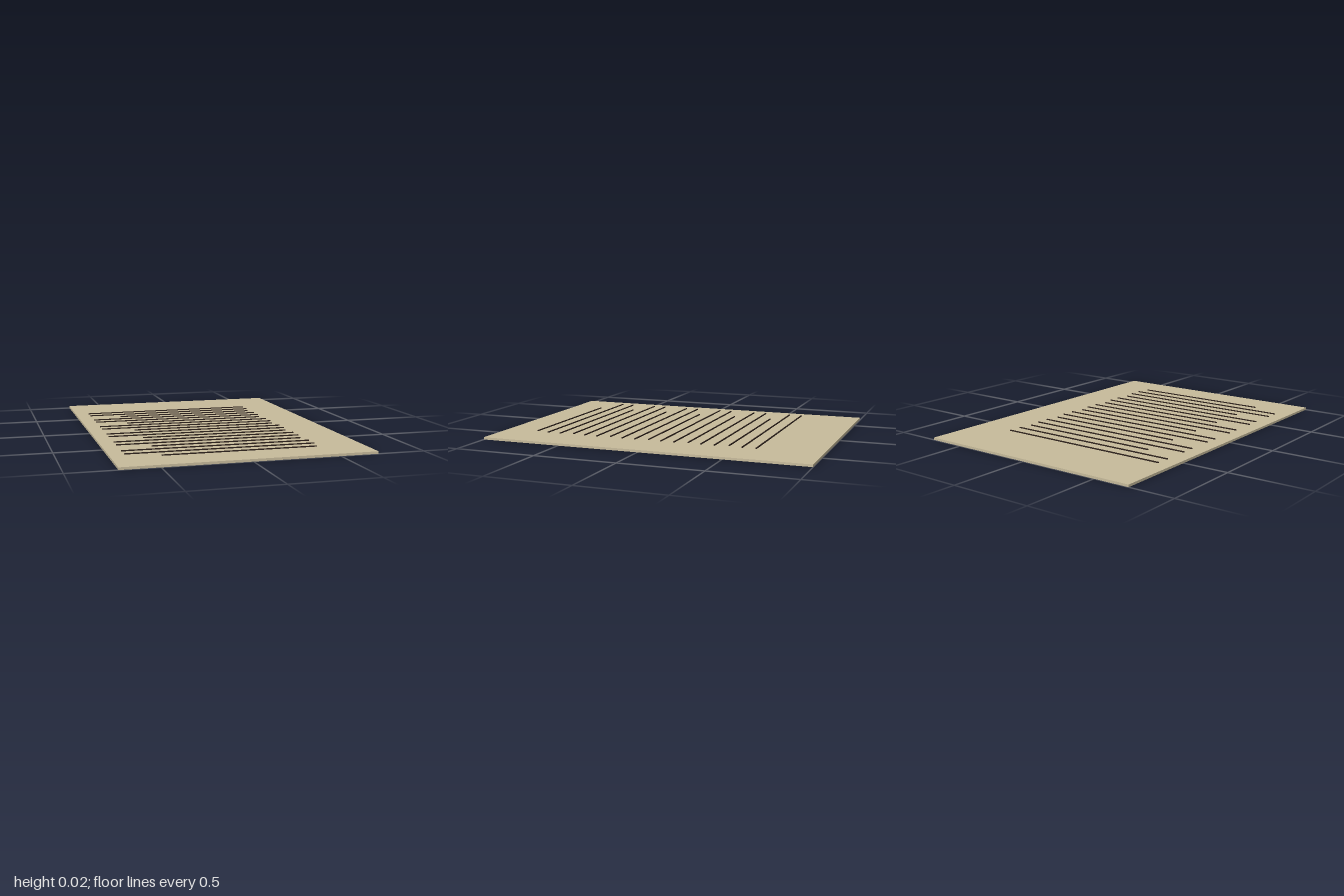
import * as THREE from 'three';

export function createModel() {
  const group = new THREE.Group();
  const paper = new THREE.MeshStandardMaterial({ color: 0xc8bc9c });
  const ink = new THREE.MeshStandardMaterial({ color: 0x2e221c });

  // Thin sheet lying flat
  const thickness = 0.014;
  const sheet = new THREE.Mesh(new THREE.BoxGeometry(1.446, thickness, 2), paper);
  sheet.name = 'sheet';
  sheet.position.y = thickness / 2;
  group.add(sheet);

  // Raised rows of writing: two long lines, then a short indented one
  const lines = new THREE.Group();
  lines.name = 'writtenLines';
  const rowHeight = 0.006;
  for (let i = 0; i < 18; i++) {
    const short = i % 3 === 2;
    const [left, right] = short ? [-0.45, 0.445] : [-0.64, 0.465];
    const line = new THREE.Mesh(new THREE.BoxGeometry(right - left, rowHeight, 0.007), ink);
    line.name = short ? 'shortLine' : 'longLine';
    line.position.set((left + right) / 2, thickness + rowHeight / 2, -0.617 + i * 0.0828);
    lines.add(line);
  }
  group.add(lines);

  return group;
}
